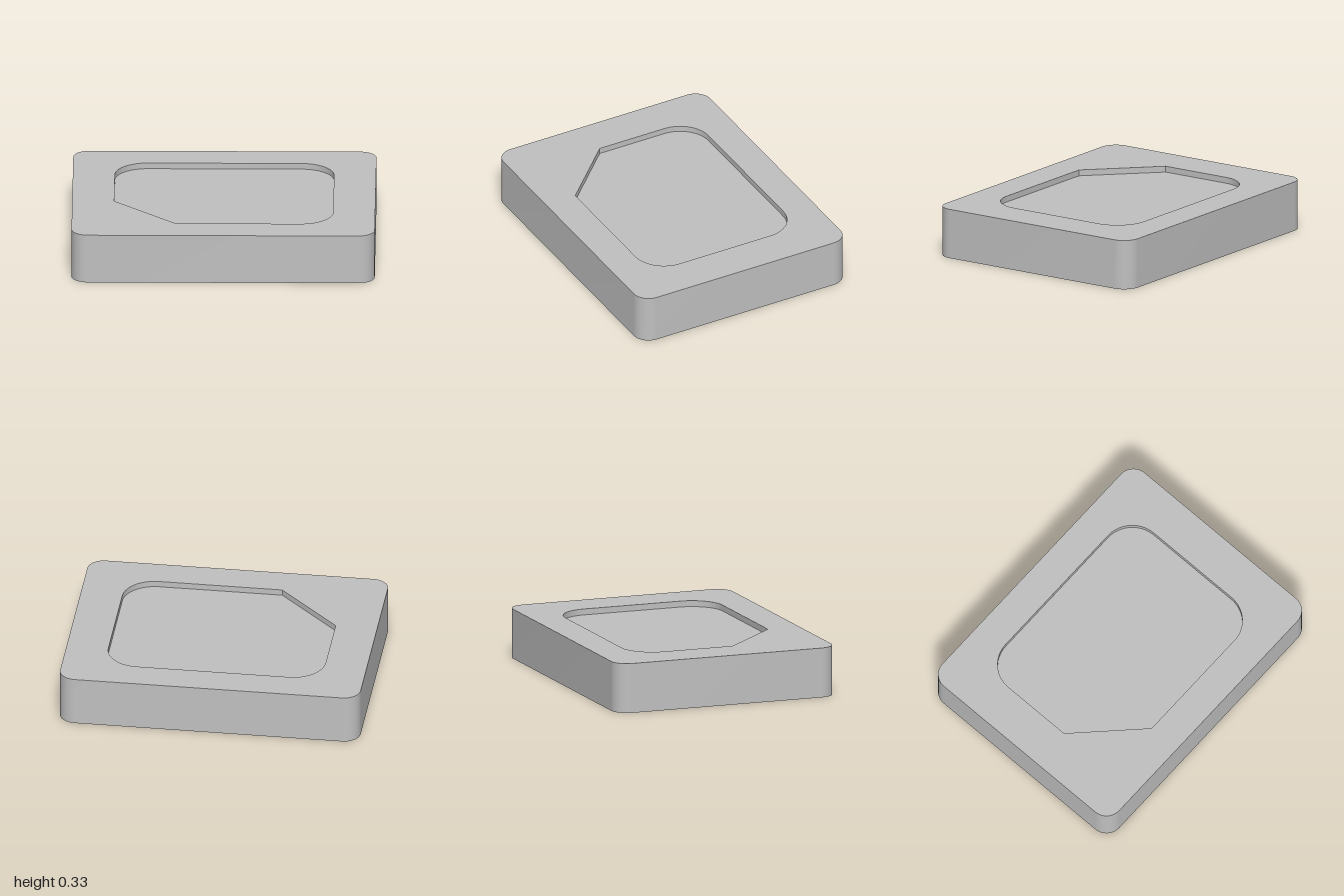
import * as THREE from 'three';
import { toCreasedNormals } from 'three/addons/utils/BufferGeometryUtils.js';

const HEIGHT = 0.333, DEPTH = 0.04, SEGMENTS = 12;

// Rounded rectangle, drawn counter-clockwise; an optional chamfer cuts the front -x corner
function plateShape(w, d, r, chamfer = 0) {
  const s = new THREE.Shape();
  const x = w - r, y = d - r, q = Math.PI / 2;
  s.absarc(x, -y, r, -q, 0);
  s.absarc(x, y, r, 0, q);
  s.absarc(-x, y, r, q, 2 * q);
  if (chamfer) {
    s.lineTo(-w, -d + chamfer);
    s.lineTo(-w + chamfer, -d);
  } else {
    s.absarc(-x, -y, r, 2 * q, 3 * q);
  }
  return s;
}

// Vertical wall along a closed outline, facing outward for counter-clockwise points
function wall(points, low, high) {
  const pos = [];
  points.forEach((a, i) => {
    const b = points[(i + 1) % points.length];
    pos.push(a.x, a.y, low, b.x, b.y, low, b.x, b.y, high);
    pos.push(a.x, a.y, low, b.x, b.y, high, a.x, a.y, high);
  });
  const g = new THREE.BufferGeometry();
  g.setAttribute('position', new THREE.Float32BufferAttribute(pos, 3));
  return toCreasedNormals(g, Math.PI / 6);
}

export function createModel() {
  const group = new THREE.Group();
  const grey = new THREE.MeshStandardMaterial({ color: 0xc0c0c0 });
  grey.name = 'grey';

  const add = (name, geometry) => {
    const mesh = new THREE.Mesh(geometry.rotateX(-Math.PI / 2), grey);
    mesh.name = name;
    group.add(mesh);
  };

  const outer = plateShape(1, 0.778, 0.111);
  const pocket = plateShape(0.723, 0.556, 0.215, 0.41);
  const rim = plateShape(1, 0.778, 0.111);
  rim.holes.push(pocket);
  const floor = HEIGHT - DEPTH;

  // Block: underside, sides and the top face around the pocket
  add('underside', new THREE.ShapeGeometry(outer, SEGMENTS).rotateY(Math.PI));
  add('outerWall', wall(outer.getPoints(SEGMENTS), 0, HEIGHT));
  add('topRim', new THREE.ShapeGeometry(rim, SEGMENTS).translate(0, 0, HEIGHT));

  // Shallow pocket with one chamfered corner
  add('pocketWall', wall(pocket.getPoints(SEGMENTS).reverse(), floor, HEIGHT));
  add('pocketFloor', new THREE.ShapeGeometry(pocket, SEGMENTS).translate(0, 0, floor));
  return group;
}
